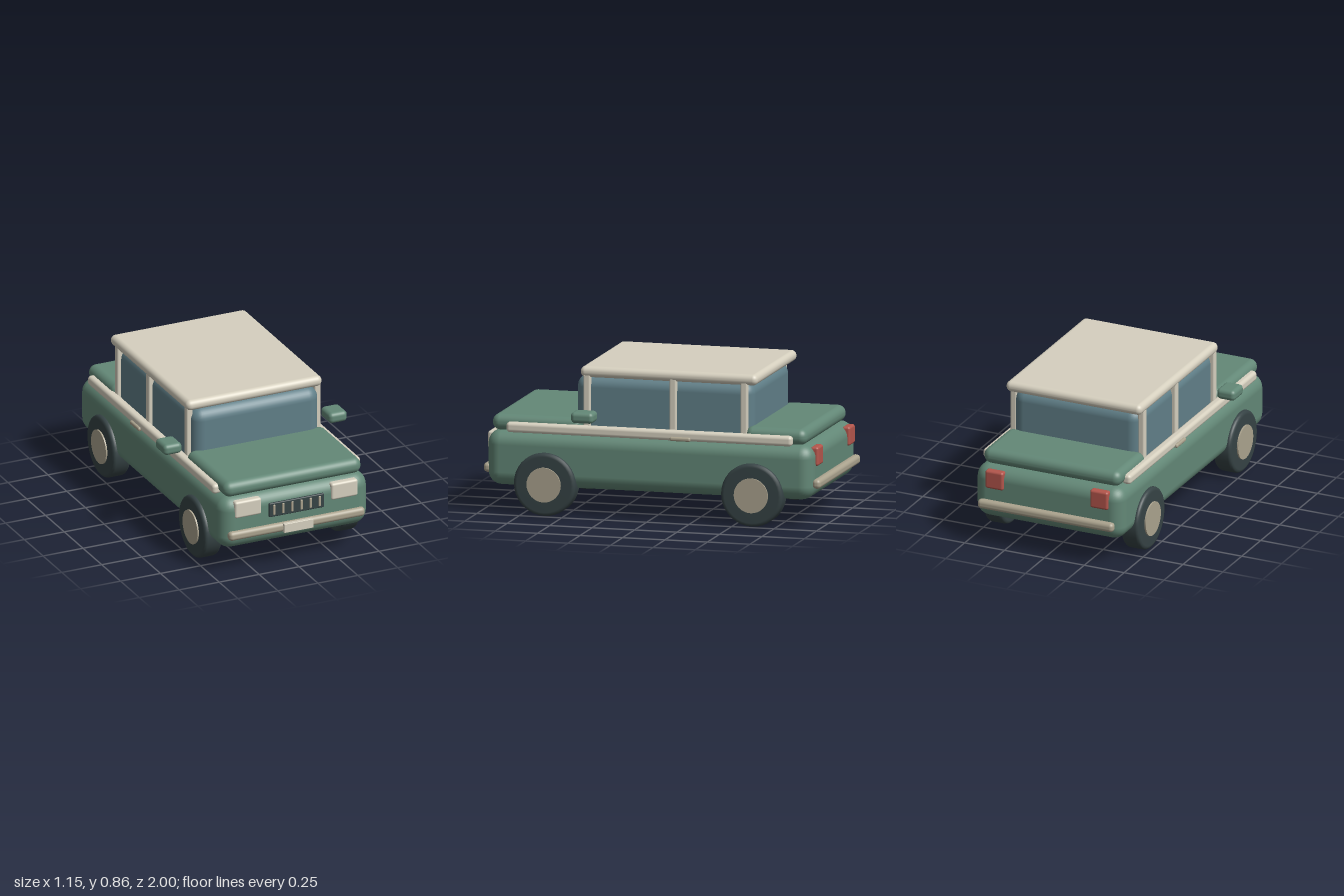
import * as THREE from 'three';
import { RoundedBoxGeometry } from 'three/addons/geometries/RoundedBoxGeometry.js';

const mat = (name, color) => {
  const m = new THREE.MeshStandardMaterial({ color });
  m.name = name;
  return m;
};

export function createModel() {
  const car = new THREE.Group();
  car.name = 'car';

  const green = mat('green paint', 0x638877);
  const cream = mat('cream', 0xd6d0bf);
  const tan = mat('tan metal', 0xaba38e);
  const glass = mat('blue glass', 0x618089);
  const dark = mat('dark rubber', 0x364345);
  const red = mat('red lens', 0xb4564c);

  // Rounded block given by its limits on each axis
  function block(name, material, [x0, x1], [y0, y1], [z0, z1], radius) {
    const geo = new RoundedBoxGeometry(x1 - x0, y1 - y0, z1 - z0, 4, radius);
    const mesh = new THREE.Mesh(geo, material);
    mesh.position.set((x0 + x1) / 2, (y0 + y1) / 2, (z0 + z1) / 2);
    mesh.name = name;
    car.add(mesh);
    return mesh;
  }
  // The same block on the left (+x) and right (-x)
  function pair(name, material, [x0, x1], y, z, radius) {
    block(name + 'Left', material, [x0, x1], y, z, radius);
    block(name + 'Right', material, [-x1, -x0], y, z, radius);
  }

  // Shell, bonnet, boot, cabin and roof
  block('body', green, [-0.465, 0.465], [0.157, 0.475], [-0.963, 0.96], 0.08);
  block('bonnet', green, [-0.43, 0.43], [0.47, 0.563], [0.4, 0.935], 0.044);
  block('boot', green, [-0.43, 0.43], [0.47, 0.563], [-0.918, -0.555], 0.044);
  block('cabinGlass', glass, [-0.397, 0.397], [0.44, 0.81], [-0.595, 0.45], 0.07);
  block('roof', cream, [-0.425, 0.425], [0.8, 0.863], [-0.627, 0.416], 0.03);

  // Window pillars
  [['front', 0.377], ['middle', -0.13], ['rear', -0.548]].forEach(([place, z]) =>
    pair(place + 'Pillar', cream, [0.38, 0.42], [0.47, 0.82], [z - 0.021, z + 0.021], 0.01));

  // Belt trim, door handles and mirrors
  pair('beltTrim', cream, [0.408, 0.463], [0.468, 0.527], [-0.842, 0.84], 0.02);
  pair('doorHandle', tan, [0.45, 0.477], [0.469, 0.493], [-0.248, -0.127], 0.01);
  pair('mirror', green, [0.46, 0.574], [0.56, 0.624], [0.297, 0.43], 0.024);

  // Bumpers and number plate
  block('frontBumper', tan, [-0.425, 0.425], [0.225, 0.28], [0.935, 0.985], 0.022);
  block('rearBumper', tan, [-0.425, 0.425], [0.225, 0.28], [-1, -0.95], 0.022);
  block('numberPlate', cream, [-0.092, 0.092], [0.225, 0.28], [0.975, 1], 0.003);

  // Lamps
  pair('headlamp', cream, [0.218, 0.385], [0.355, 0.457], [0.92, 0.969], 0.014);
  pair('tailLamp', red, [0.272, 0.385], [0.35, 0.46], [-0.978, -0.93], 0.014);

  // Grille with upright bars
  block('grille', dark, [-0.172, 0.172], [0.325, 0.411], [0.94, 0.97], 0.006);
  for (let i = 0; i < 6; i++) {
    const x = (i - 2.5) * 0.0568;
    block('grilleBar' + (i + 1), tan, [x - 0.007, x + 0.007], [0.338, 0.4], [0.95, 0.976], 0.004);
  }

  // Wheels: tyre turned from a profile with rounded shoulders, plus a hub disc
  const profile = [
    [0, -0.057], [0.16, -0.057], [0.172, -0.054], [0.179, -0.047], [0.182, -0.037],
    [0.182, 0.037], [0.179, 0.047], [0.172, 0.054], [0.16, 0.057], [0, 0.057],
  ].map(([r, h]) => new THREE.Vector2(r, h));
  const tyreGeo = new THREE.LatheGeometry(profile, 36);
  const hubGeo = new THREE.CylinderGeometry(0.1, 0.1, 0.02, 32);
  for (const side of [1, -1]) {
    for (const [place, z] of [['front', 0.608], ['rear', -0.612]]) {
      const wheel = new THREE.Group();
      wheel.name = place + 'Wheel' + (side > 0 ? 'Left' : 'Right');
      const tyre = new THREE.Mesh(tyreGeo, dark);
      tyre.name = 'tyre';
      const hub = new THREE.Mesh(hubGeo, tan);
      hub.name = 'hub';
      hub.position.y = 0.056;
      wheel.add(tyre, hub);
      wheel.rotation.z = -side * Math.PI / 2;
      wheel.position.set(side * 0.433, 0.182, z);
      car.add(wheel);
    }
  }
  return car;
}
